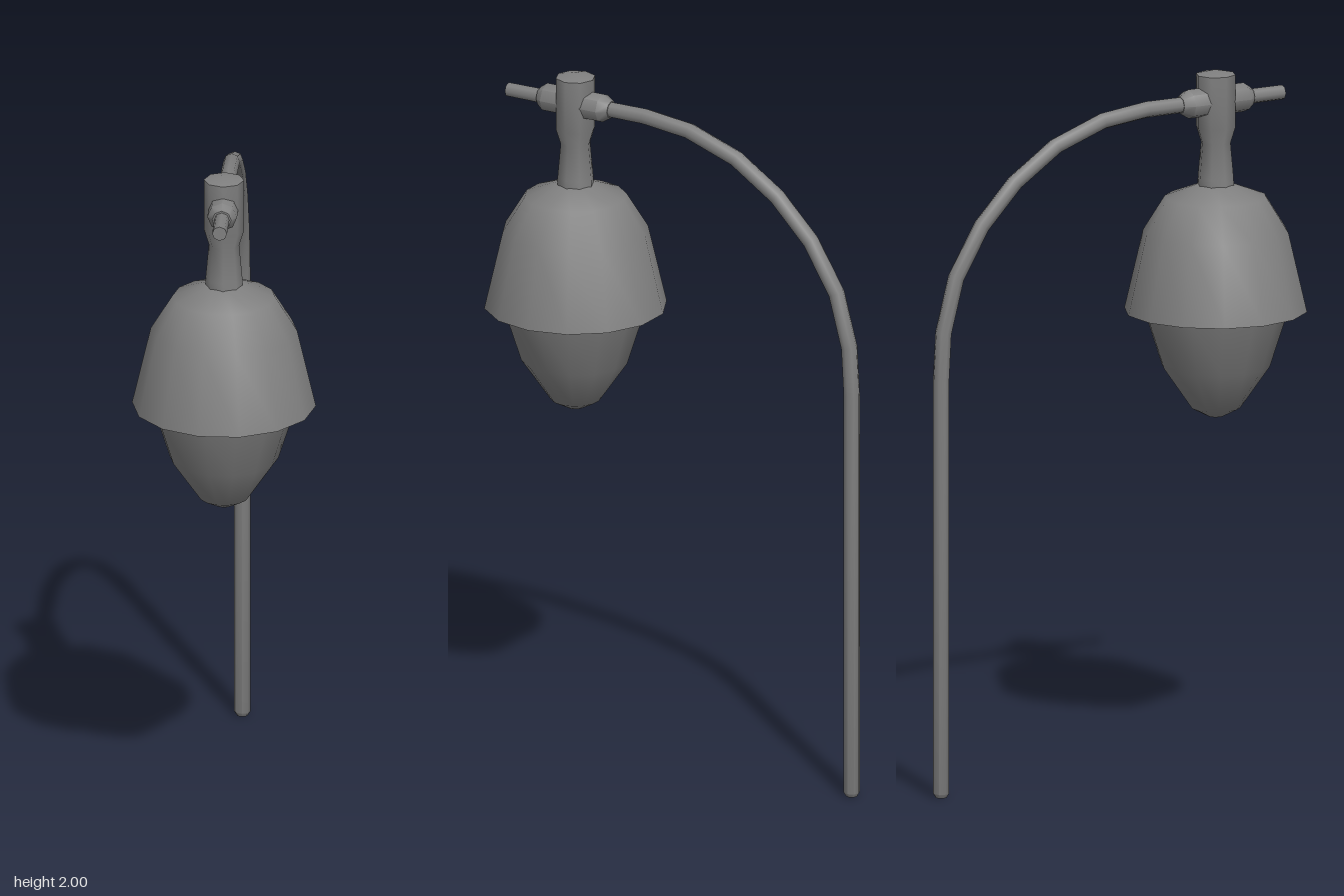
import * as THREE from 'three';
import { toCreasedNormals } from 'three/addons/utils/BufferGeometryUtils.js';

const LAMP_Z = 0.34;
const ARM_Y = 1.91;
const material = new THREE.MeshStandardMaterial({ color: 0x808080 });

function addMesh(group, name, geometry, crease = 0.9) {
  const mesh = new THREE.Mesh(toCreasedNormals(geometry, crease), material);
  mesh.name = name;
  group.add(mesh);
  return mesh;
}

// Turned part: profile of [radius, height] from bottom to top, a corner on the x axis
function turned(profile, sides) {
  const points = profile.map(([r, y]) => new THREE.Vector2(r, y));
  return new THREE.LatheGeometry(points, sides, Math.PI / 2);
}

// Sweeps a ring along a path of [z, y, radius] lying in the plane x = 0
function sweep(path, sides) {
  const positions = [];
  const index = [];
  path.forEach(([z, y, r], i) => {
    const a = path[Math.max(i - 1, 0)];
    const b = path[Math.min(i + 1, path.length - 1)];
    const tangent = new THREE.Vector2(b[0] - a[0], b[1] - a[1]).normalize();
    for (let k = 0; k < sides; k++) {
      const t = (k / sides) * Math.PI * 2;
      const s = Math.sin(t) * r;
      positions.push(Math.cos(t) * r, y - tangent.x * s, z + tangent.y * s);
      if (i === 0) continue;
      const p = (i - 1) * sides + k;
      const q = (i - 1) * sides + ((k + 1) % sides);
      index.push(p, p + sides, q, q, p + sides, q + sides);
    }
  });
  const geometry = new THREE.BufferGeometry();
  geometry.setAttribute('position', new THREE.Float32BufferAttribute(positions, 3));
  geometry.setIndex(index);
  return geometry;
}

export function createModel() {
  const model = new THREE.Group();
  model.name = 'streetLamp';

  // Post rising from the ground and bending forward into the arm
  const R = 0.0235;
  const post = [
    [-0.57, 0, 0], [-0.57, 0, 0.016], [-0.57, 0.012, R], [-0.57, 1.2, R],
    [-0.562, 1.34, R], [-0.52, 1.495, R], [-0.435, 1.635, R], [-0.325, 1.748, R],
    [-0.19, 1.838, R], [-0.035, 1.893, R], [0.11, ARM_Y, R],
    [0.559, ARM_Y, 0.021], [0.56, ARM_Y, 0.021], [0.56, ARM_Y, 0],
  ];
  addMesh(model, 'postAndArm', sweep(post, 8));

  // Lamp head hanging from the arm
  const head = new THREE.Group();
  head.name = 'lampHead';
  head.position.z = LAMP_Z;
  model.add(head);

  addMesh(head, 'stem', turned([
    [0, 1.66], [0.053, 1.66], [0.052, 1.69], [0.043, 1.79],
    [0.057, 1.835], [0.057, 1.987], [0, 2],
  ], 8));

  // Clamp collar gripping the arm on both sides of the stem
  const collar = addMesh(head, 'armCollar', turned([
    [0, -0.118], [0.025, -0.118], [0.042, -0.09],
    [0.042, 0.092], [0.027, 0.114], [0, 0.114],
  ], 8));
  collar.rotation.x = Math.PI / 2;
  collar.position.y = ARM_Y;

  // Shade with a closed underside
  addMesh(head, 'shade', turned([
    [0, 1.306], [0.26, 1.306], [0.207, 1.533], [0.145, 1.633], [0.05, 1.669], [0, 1.669],
  ], 14), 1.0);

  addMesh(head, 'bulb', turned([
    [0, 0.996], [0.022, 1], [0.07, 1.025], [0.154, 1.146], [0.206, 1.308],
  ], 14), 1.0);

  return model;
}
